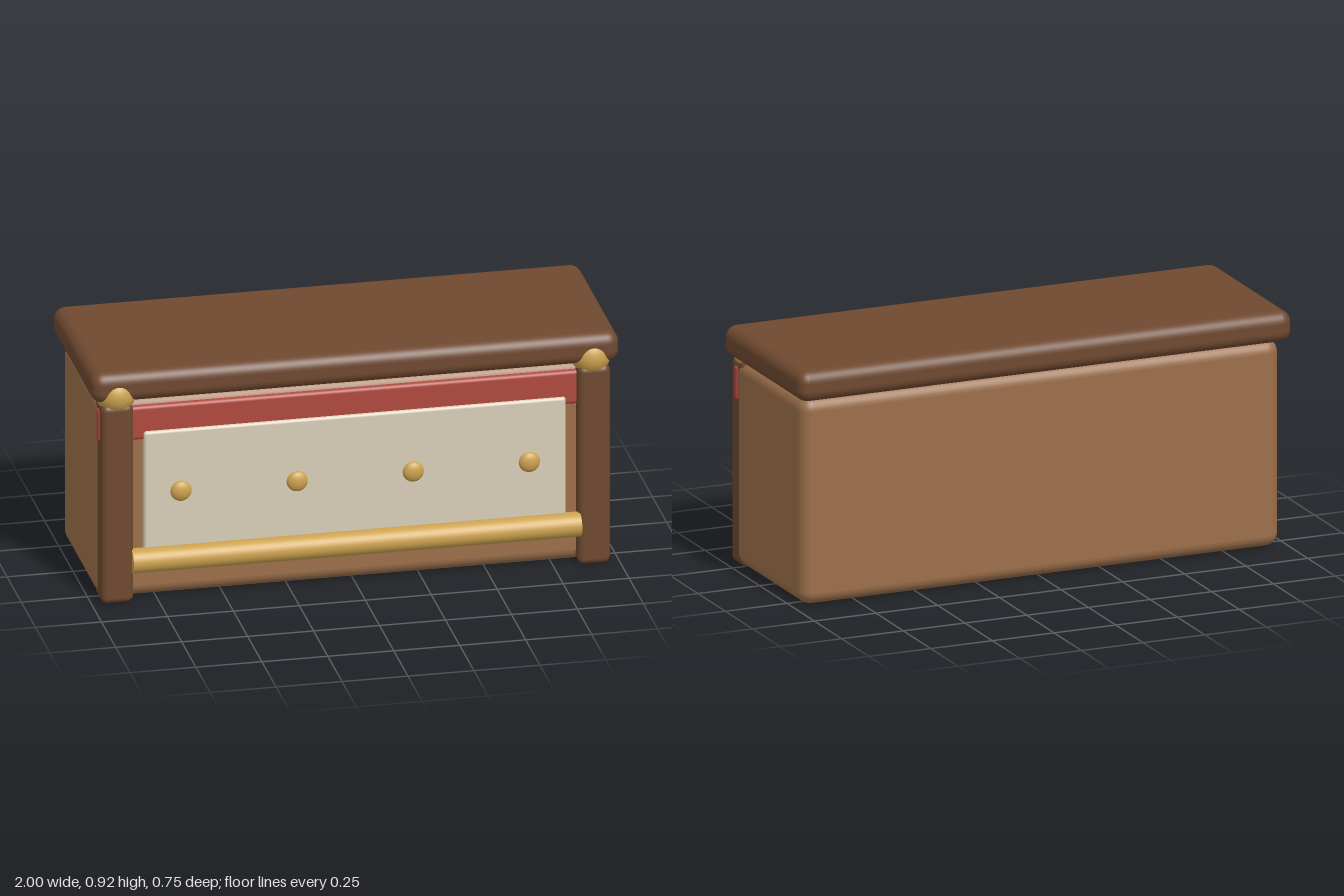
import * as THREE from 'three';
import { RoundedBoxGeometry } from 'three/addons/geometries/RoundedBoxGeometry.js';

const material = (color) => new THREE.MeshStandardMaterial({ color });

export function createModel() {
  const model = new THREE.Group();
  const darkWood = material(0x6f4930);
  const wood = material(0x9c6f4a);
  const red = material(0xb0483f);
  const cream = material(0xd8ceb8);
  const gold = material(0xcca24f);

  const add = (name, geometry, mat, x, y, z) => {
    const mesh = new THREE.Mesh(geometry, mat);
    mesh.name = name;
    mesh.position.set(x, y, z);
    model.add(mesh);
    return mesh;
  };

  // Rounded box given by its [min, max] on each axis
  const box = (name, mat, [x0, x1], [y0, y1], [z0, z1], radius) =>
    add(name, new RoundedBoxGeometry(x1 - x0, y1 - y0, z1 - z0, 4, radius), mat,
      (x0 + x1) / 2, (y0 + y1) / 2, (z0 + z1) / 2);

  // Chest body and overhanging lid
  box('body', wood, [-0.97, 0.97], [0, 0.8], [-0.325, 0.295], 0.05);
  box('lid', darkWood, [-1, 1], [0.8, 0.92], [-0.375, 0.345], 0.045);

  // Front dressing: red band with a pale panel overlapping it
  box('redBand', red, [-0.972, 0.972], [0.635, 0.77], [0.27, 0.31], 0.015);
  box('frontPanel', cream, [-0.8, 0.8], [0.17, 0.67], [0.285, 0.322], 0.012);

  // Corner posts with round caps
  for (const [side, s] of [['left', 1], ['right', -1]]) {
    const post = new RoundedBoxGeometry(0.123, 0.795, 0.13, 4, 0.025);
    add(side + 'Post', post, darkWood, s * 0.9035, 0.3975, 0.28);
    add(side + 'PostCap', new THREE.SphereGeometry(0.075, 32, 20), gold, s * 0.9, 0.823, 0.285);
  }

  // Flattened studs across the panel
  for (let i = 0; i < 4; i++) {
    const stud = add('stud', new THREE.SphereGeometry(0.04, 24, 16), gold, -0.66 + i * 0.44, 0.425, 0.322);
    stud.scale.z = 0.55;
  }

  // Round rail along the lower front
  const rail = add('frontRail', new THREE.CylinderGeometry(0.047, 0.047, 1.7, 32), gold, 0, 0.162, 0.328);
  rail.rotation.z = Math.PI / 2;

  return model;
}
